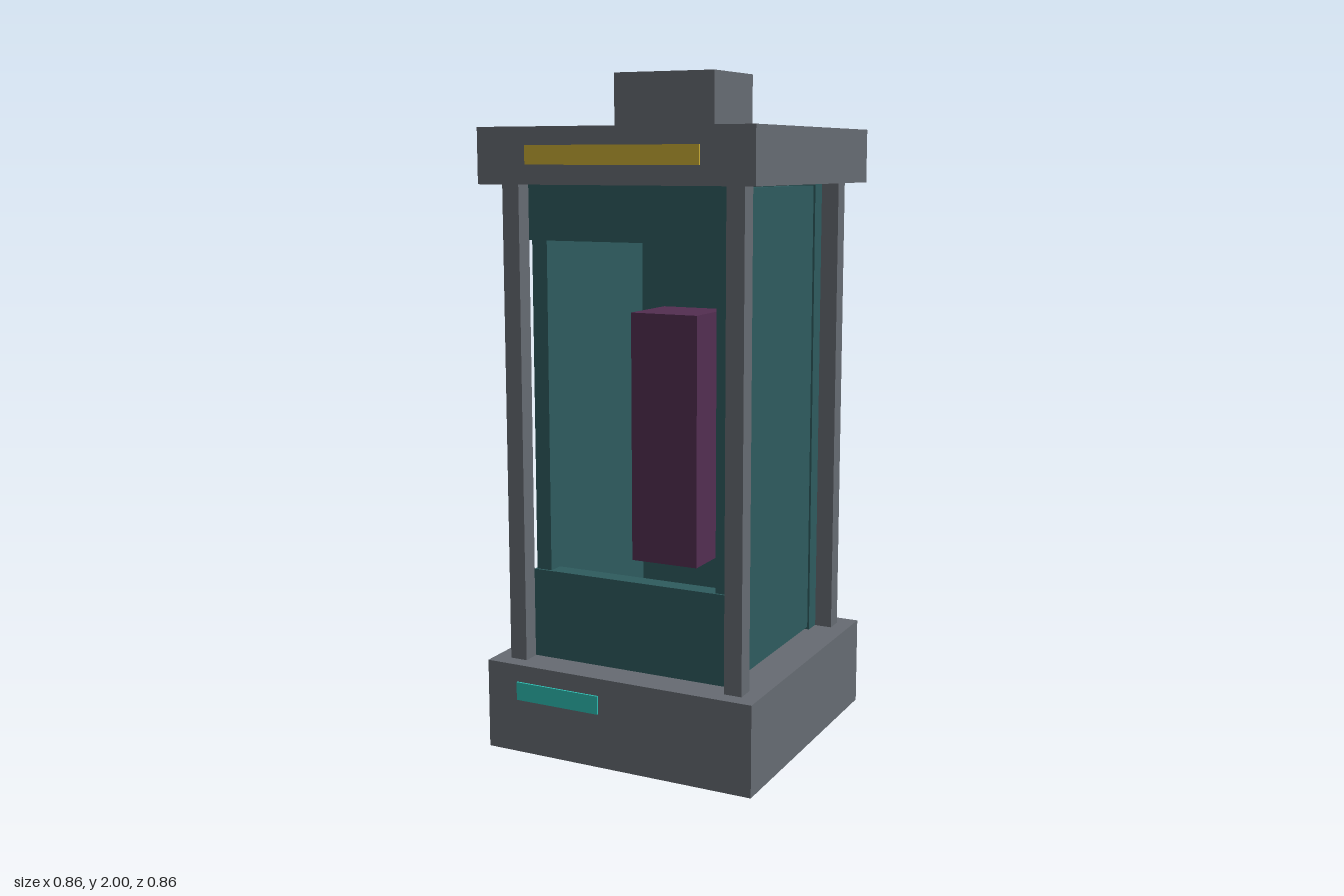
import * as THREE from 'three';

function material(name, color) {
  const m = new THREE.MeshStandardMaterial({ color, side: THREE.DoubleSide });
  m.name = name;
  return m;
}

export function createModel() {
  const metal = material('greyMetal', 0x666b72);
  const panel = material('tealPanel', 0x2e5b5e);
  const core = material('purpleCore', 0x532e51);
  const yellow = material('yellowSign', 0xc7aa34);
  const cyan = material('cyanLight', 0x2dbcb1);

  const model = new THREE.Group();
  model.name = 'lanternBooth';

  // Box given by its ranges; openFace drops one side (order +x -x +y -y +z -z)
  function box(name, mat, [x0, x1], [y0, y1], [z0, z1], openFace = -1) {
    const geometry = new THREE.BoxGeometry(x1 - x0, y1 - y0, z1 - z0);
    if (openFace >= 0) {
      const index = Array.from(geometry.index.array);
      index.splice(openFace * 6, 6);
      geometry.setIndex(index);
      geometry.clearGroups();
    }
    const mesh = new THREE.Mesh(geometry, mat);
    mesh.name = name;
    mesh.position.set((x0 + x1) / 2, (y0 + y1) / 2, (z0 + z1) / 2);
    model.add(mesh);
  }

  // Hollow base, roof slab and roof vent
  box('base', metal, [-0.43, 0.43], [0, 0.27], [-0.432, 0.426], 3);
  box('roof', metal, [-0.43, 0.43], [1.68, 1.84], [-0.432, 0.426]);
  box('roofVent', metal, [-0.162, 0.162], [1.84, 2], [-0.162, 0.107]);

  // Corner posts
  for (const x of [-0.352, 0.352]) {
    for (const z of [-0.352, 0.352]) {
      box('cornerPost', metal, [x - 0.027, x + 0.027], [0.27, 1.68], [z - 0.027, z + 0.027]);
    }
  }

  // Side walls stop just short of base and roof
  box('leftWall', panel, [0.27, 0.319], [0.279, 1.672], [-0.319, 0.319]);
  box('rightWall', panel, [-0.319, -0.27], [0.279, 1.672], [-0.319, 0.319]);

  // Back wall, and the sill and lintel around the front opening
  box('backWall', panel, [-0.325, 0.325], [0.271, 1.679], [-0.325, -0.27]);
  box('frontSill', panel, [-0.325, 0.325], [0.271, 0.54], [0.27, 0.326]);
  box('frontLintel', panel, [-0.325, 0.325], [1.52, 1.679], [0.27, 0.326]);

  // Floating core inside
  box('core', core, [-0.109, 0.109], [0.54, 1.3], [-0.109, 0.109]);

  // Sign strip on the roof, and light strip with an open back in the base
  box('roofSign', yellow, [-0.27, 0.27], [1.735, 1.789], [0.425, 0.432]);
  box('baseLight', cyan, [-0.328, -0.054], [0.163, 0.218], [0.385, 0.432], 5);

  return model;
}
